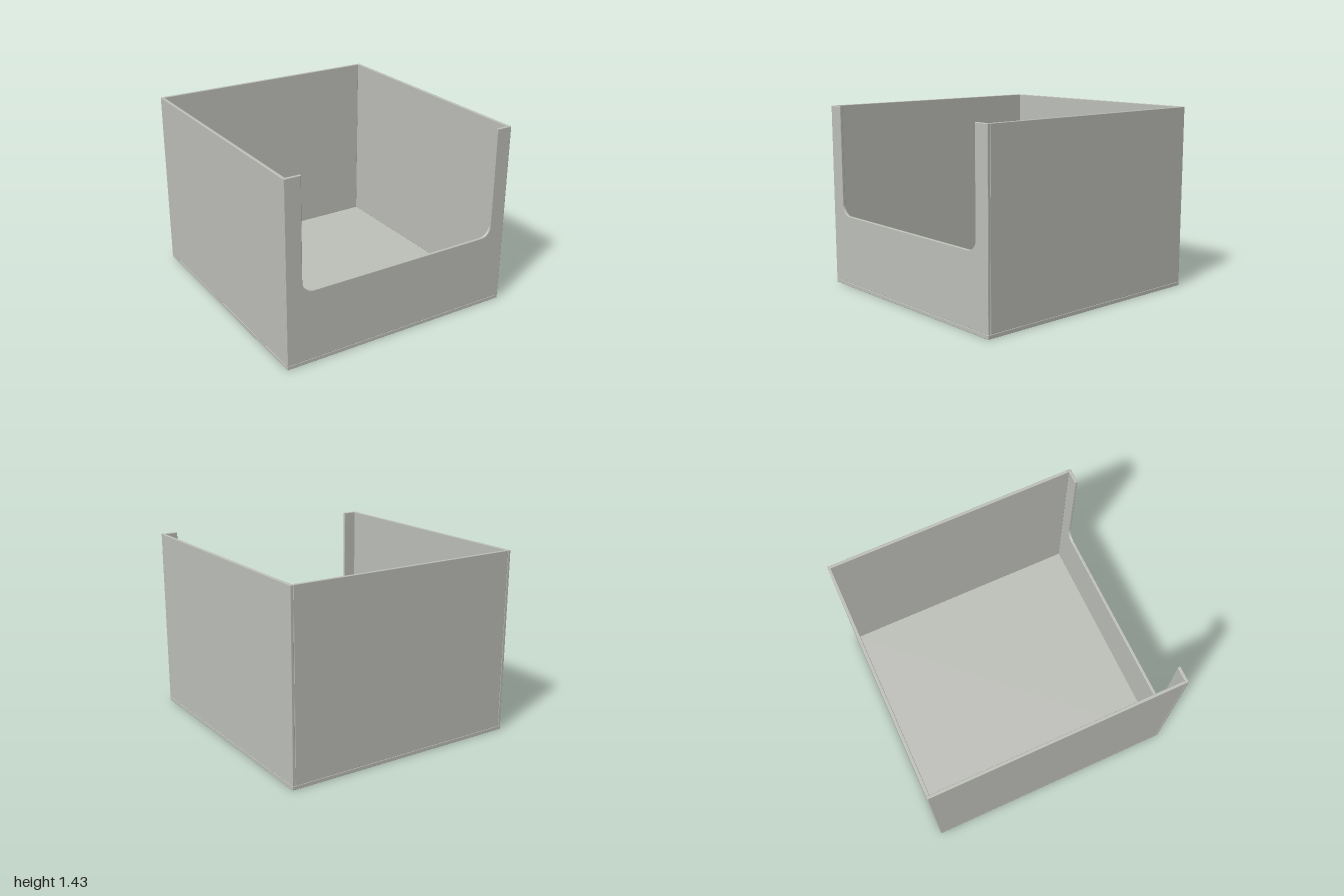
import * as THREE from 'three';
import { RoundedBoxGeometry } from 'three/addons/geometries/RoundedBoxGeometry.js';

const W = 1.9, D = 2, H = 1.43; // overall size
const T = 0.023;                // wall thickness
const BASE = 0.03;              // floor thickness
const B = 0.004;                // softened edge

export function createModel() {
  const group = new THREE.Group();
  const panelGrey = new THREE.MeshStandardMaterial({ color: 0xbdbfb9 });
  panelGrey.name = 'panelGrey';

  const add = (name, geometry, x, y, z) => {
    const mesh = new THREE.Mesh(geometry, panelGrey);
    mesh.name = name;
    mesh.position.set(x, y, z);
    group.add(mesh);
  };
  const panel = (name, w, h, d, x, y, z) =>
    add(name, new RoundedBoxGeometry(w, h, d, 2, B), x, y, z);

  // Floor slab and the three plain walls
  const wallH = H - BASE, wallY = BASE + wallH / 2;
  panel('floor', W, BASE, D, 0, BASE / 2, 0);
  for (const [name, s] of [['leftWall', 1], ['rightWall', -1]]) {
    panel(name, T, wallH, D - T, s * (W - T) / 2, wallY, -T / 2);
  }
  panel('backWall', W - 2 * T, wallH, T, 0, wallY, -(D - T) / 2);

  // Front wall with a wide opening, rounded at its lower corners
  const hw = W / 2, ox = 0.822, oy = 0.572, r = 0.085;
  const s = new THREE.Shape();
  s.moveTo(-hw, BASE);
  s.lineTo(hw, BASE);
  s.lineTo(hw, H);
  s.lineTo(ox, H);
  s.lineTo(ox, oy + r);
  s.absarc(ox - r, oy + r, r, 0, -Math.PI / 2, true);
  s.lineTo(-ox + r, oy);
  s.absarc(-ox + r, oy + r, r, -Math.PI / 2, -Math.PI, true);
  s.lineTo(-ox, H);
  s.lineTo(-hw, H);
  s.closePath();
  const front = new THREE.ExtrudeGeometry(s, {
    depth: T - 2 * B, curveSegments: 16,
    bevelEnabled: true, bevelThickness: B, bevelSize: B, bevelOffset: -B, bevelSegments: 2,
  });
  add('frontWall', front, 0, 0, D / 2 - T + B);

  return group;
}
